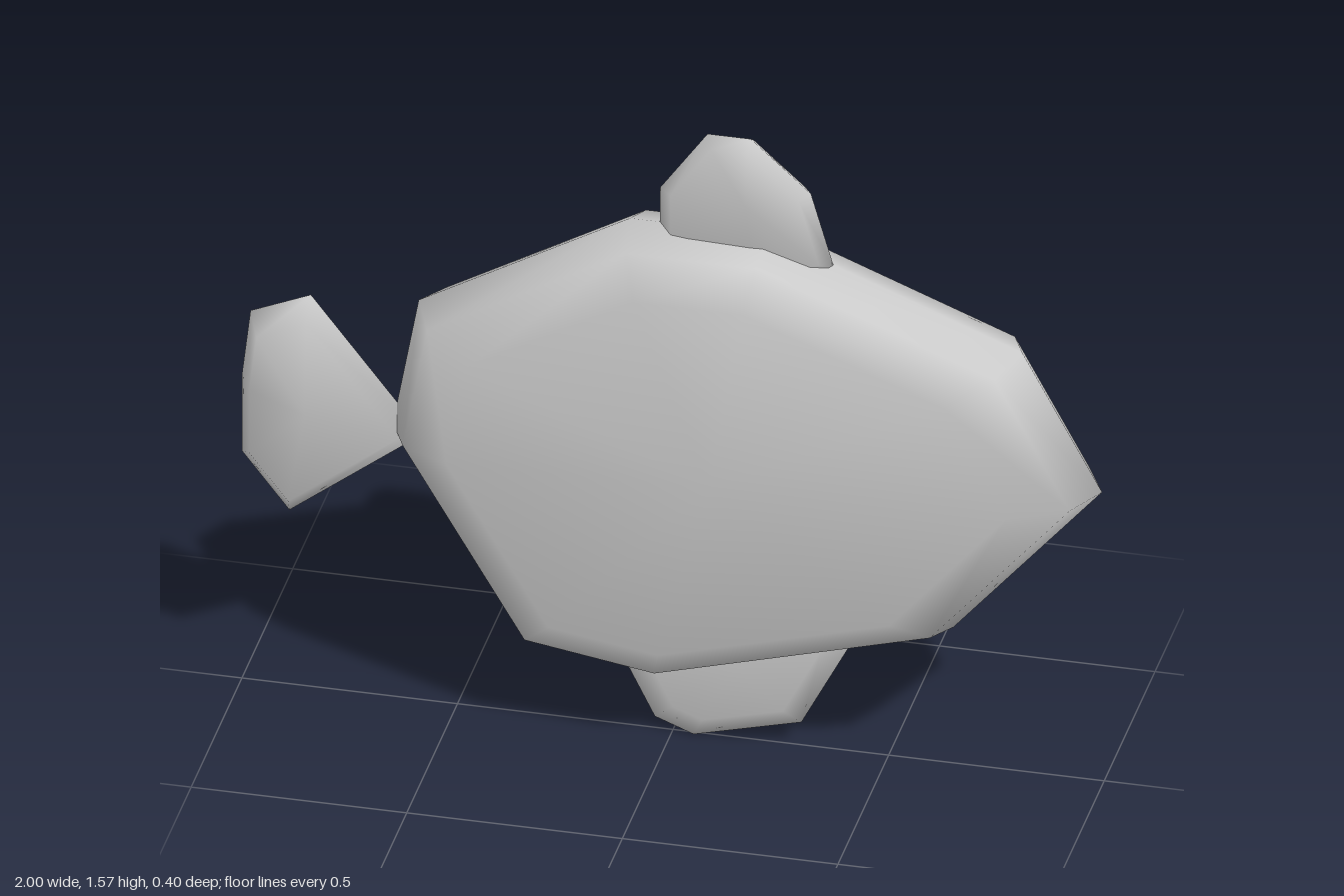
import * as THREE from 'three';

const material = new THREE.MeshStandardMaterial({ color: 0xcccccc });

// A flattened pebble: a clockwise outline in the xy plane, shrunk towards a
// centre point in rings [z, scale] that run from the back to the front.
function pebble(name, outline, [cx, cy], rings, halfDepth, zShift = 0) {
  const n = outline.length;
  const positions = [];
  const index = [];
  for (const [z, s] of rings) {
    for (const [x, y] of outline) {
      positions.push(cx + (x - cx) * s, cy + (y - cy) * s, z + zShift);
    }
  }
  const back = rings.length * n;
  const front = back + 1;
  positions.push(cx, cy, zShift - halfDepth, cx, cy, zShift + halfDepth);

  const last = (rings.length - 1) * n;
  for (let i = 0; i < n; i++) {
    const j = (i + 1) % n;
    for (let r = 0; r < rings.length - 1; r++) {
      const a = r * n + i, b = r * n + j;
      index.push(a, a + n, b, b, a + n, b + n);
    }
    index.push(back, i, j);
    index.push(front, last + j, last + i);
  }
  const geometry = new THREE.BufferGeometry();
  geometry.setAttribute('position', new THREE.Float32BufferAttribute(positions, 3));
  geometry.setIndex(index);
  geometry.computeVertexNormals();
  const mesh = new THREE.Mesh(geometry, material);
  mesh.name = name;
  return mesh;
}

export function createModel() {
  const fish = new THREE.Group();
  fish.name = 'fish';

  // Body: tall flat pebble with rounded rim and nearly flat flanks
  fish.add(pebble('body', [
    [-0.65, 0.72], [-0.59, 1.05], [-0.1, 1.33], [0.22, 1.33], [0.81, 1.1],
    [0.995, 0.76], [0.65, 0.36], [-0.03, 0.17], [-0.35, 0.22],
  ], [0.13, 0.77],
  [[-0.17, 0.79], [-0.1, 0.94], [0, 1], [0.1, 0.94], [0.17, 0.79]], 0.2));

  // Tail fin: fans out backwards from a point inside the body
  fish.add(pebble('tailFin', [
    [-1, 0.6], [-1, 0.8], [-0.98, 0.97], [-0.84, 1.03], [-0.58, 0.7], [-0.89, 0.46],
  ], [-0.84, 0.75], [[-0.05, 0.82], [0, 1], [0.05, 0.82]], 0.065));

  // Fin on the back, rooted in the body
  fish.add(pebble('dorsalFin', [
    [-0.03, 1.26], [-0.03, 1.42], [0.08, 1.575], [0.18, 1.575],
    [0.32, 1.45], [0.375, 1.26], [0.2, 1.18],
  ], [0.18, 1.43], [[-0.033, 0.85], [0, 1], [0.033, 0.85]], 0.055));

  // Fin under the belly
  fish.add(pebble('bellyFin', [
    [-0.04, 0.04], [-0.12, 0.2], [0, 0.36], [0.32, 0.4],
    [0.42, 0.3], [0.3, 0.07], [0.05, 0.005],
  ], [0.15, 0.22], [[-0.024, 0.75], [0, 1], [0.024, 0.75]], 0.032, 0.01));

  return fish;
}
